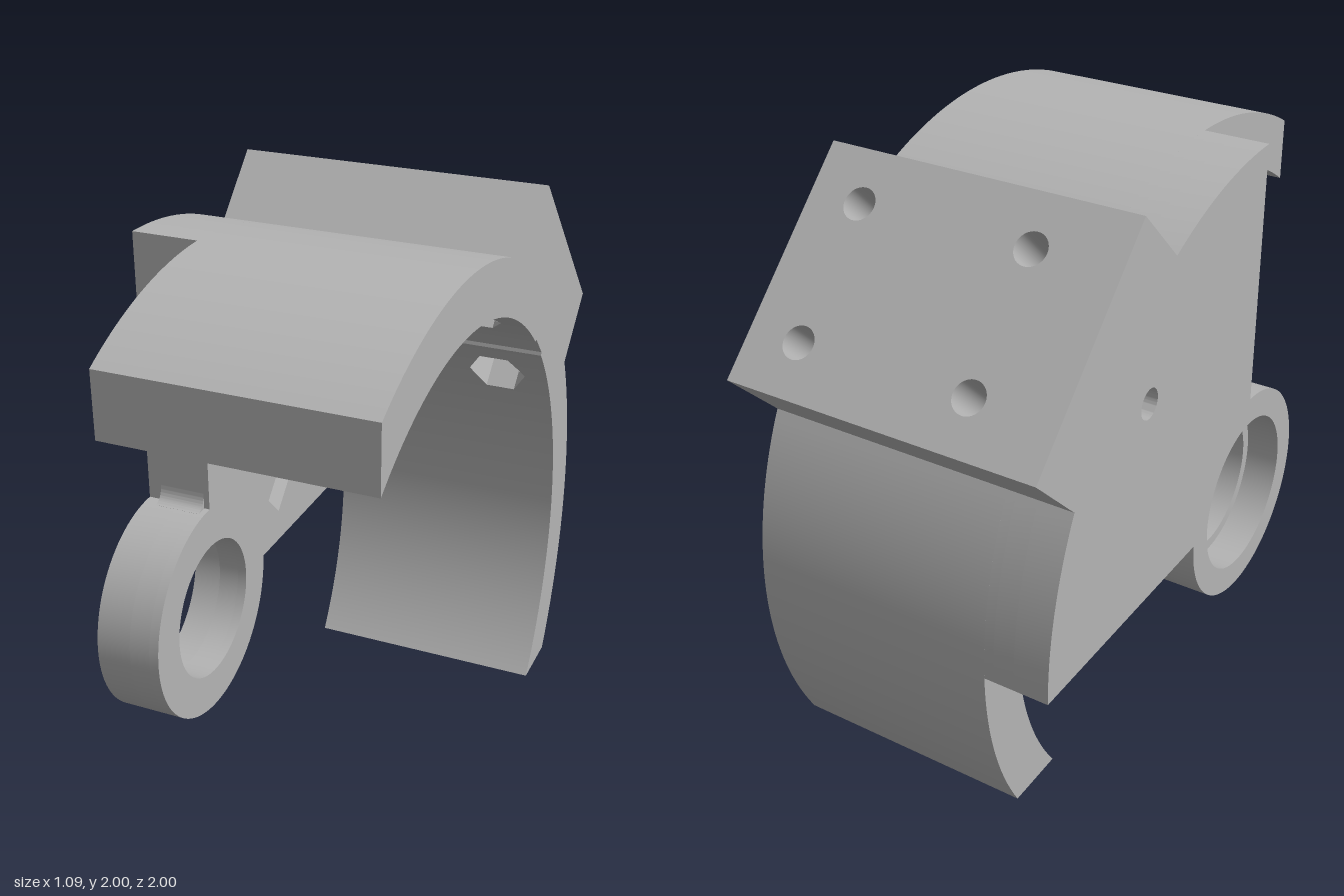
import * as THREE from 'three';
import { toCreasedNormals } from 'three/addons/utils/BufferGeometryUtils.js';

// Local frame: x = width, y = radially out through the mounting block (u), z = across it (v).
const X0 = -0.545, X1 = -0.32, X2 = 0.54;            // plate outside, plate inside, guard edge
const R_OUT = 1.31, R_IN = 1.125, BLOCK_U = 1.527, BLOCK_V = 0.4;
const BOLT_X = [-0.25, 0.355], BOLT_V = [-0.227, 0.227], BOLT_R = 0.054;
const HEX_R = 0.103, HEX_H = HEX_R * Math.sqrt(3) / 2, POCKET_U = 1.3;
const NUT_U = 1.043, NUT_V = 0.0525, SLOT_U = 1.134; // side nut and the shallow slot it leaves
const Q = Math.PI / 4;

const grey = new THREE.MeshStandardMaterial({ color: 0xb4b4b4, side: THREE.DoubleSide });
grey.name = 'grey';

const X = new THREE.Vector3(1, 0, 0), Y = new THREE.Vector3(0, 1, 0), Z = new THREE.Vector3(0, 0, 1);
const ALONG_X = new THREE.Matrix4().makeBasis(Y, Z, X); // shapes drawn in (u, v)
const ALONG_U = new THREE.Matrix4().makeBasis(Z, X, Y); // shapes drawn in (v, x)

// Inner surface of the guard over the block
const innerU = v => {
  const arc = Math.sqrt(R_IN * R_IN - v * v);
  return Math.abs(v) <= NUT_V + 1e-6 ? Math.max(arc, SLOT_U) : arc;
};

const circle = (x, y, r) => new THREE.Path().absarc(x, y, r, 0, Math.PI * 2, true);
const polygon = pts => new THREE.Path(pts.map(p => new THREE.Vector2(...p)));
const hexPoints = (x, y, r, start) => Array.from({ length: 6 }, (_, i) => {
  const a = start + i * Math.PI / 3;
  return [x + r * Math.cos(a), y + r * Math.sin(a)];
});
const arcPoints = (r, a, b, n) => Array.from({ length: n + 1 }, (_, i) => {
  const t = a + (b - a) * i / n;
  return [r * Math.cos(t), r * Math.sin(t)];
});
const shapeOf = (pts, holes = []) => {
  const s = new THREE.Shape(pts.map(p => new THREE.Vector2(...p)));
  s.holes.push(...holes);
  return s;
};

function extrudeX(shape, from, to) {
  const g = new THREE.ExtrudeGeometry(shape, { depth: to - from, bevelEnabled: false, curveSegments: 48 });
  g.translate(0, 0, from).applyMatrix4(ALONG_X);
  return toCreasedNormals(g, 0.5);
}

// Collects four-cornered faces into one geometry
function quads(list) {
  const pos = [];
  for (const [a, b, c, d] of list) pos.push(...a, ...b, ...c, ...a, ...c, ...d);
  const g = new THREE.BufferGeometry();
  g.setAttribute('position', new THREE.Float32BufferAttribute(pos, 3));
  return toCreasedNormals(g, 0.3);
}

export function createModel() {
  const model = new THREE.Group();
  const body = new THREE.Group();
  body.name = 'guardBracket';
  body.position.set(0, 0.64, 0.365);
  body.rotation.x = -Q;
  model.add(body);
  const add = (name, geometry) => {
    const m = new THREE.Mesh(geometry, grey);
    m.name = name;
    body.add(m);
    return m;
  };

  // Two curved wings of the guard, cut off square to the axes
  const end = r => Q + Math.asin(0.638 / r);
  const wing = [
    ...arcPoints(R_OUT, Math.asin(BLOCK_V / R_OUT), end(R_OUT), 40),
    ...arcPoints(R_IN, end(R_IN), Math.asin(BLOCK_V / R_IN), 40),
  ];
  for (const s of [1, -1]) {
    add(s > 0 ? 'frontWing' : 'rearWing', extrudeX(shapeOf(wing.map(([u, v]) => [u, v * s])), X1, X2));
  }

  // Side plate with the pivot ring, in three layers for the stepped holes
  const a0 = Math.asin(BLOCK_V / R_OUT);
  const outline = [
    ...arcPoints(R_OUT, -Q, -a0, 16), [BLOCK_U, -BLOCK_V], [BLOCK_U, BLOCK_V],
    ...arcPoints(R_OUT, a0, Q, 16), ...arcPoints(0.385, Q, 2 * Math.PI - Q, 72),
  ];
  const nut = () => polygon(hexPoints(NUT_U, 0, 0.105, Math.PI / 6));
  const vertexX = BOLT_X[0] - HEX_R;
  const grooveW = (X1 - vertexX) * Math.sqrt(3), GROOVE_U = 0.45;
  const grooves = BOLT_V.map(c => polygon([
    [GROOVE_U, c - grooveW], [POCKET_U, c - grooveW], [POCKET_U, c + grooveW], [GROOVE_U, c + grooveW],
  ]));
  add('plateOuterLayer', extrudeX(shapeOf(outline, [circle(0, 0, 0.285), circle(NUT_U, 0, 0.051)]), X0, -0.425));
  add('plateMiddleLayer', extrudeX(shapeOf(outline, [circle(0, 0, 0.245), nut()]), -0.425, vertexX));
  add('plateInnerLayer', extrudeX(shapeOf(outline, [circle(0, 0, 0.245), nut(), ...grooves]), vertexX, X1));

  // Sloping walls of the V grooves
  const walls = [];
  for (const c of BOLT_V) for (const s of [1, -1]) {
    const w = [
      [X1, GROOVE_U, c + s * grooveW], [vertexX, GROOVE_U, c],
      [vertexX, POCKET_U, c], [X1, POCKET_U, c + s * grooveW],
    ];
    walls.push(s > 0 ? w : w.reverse());
  }
  add('plateGrooves', quads(walls));

  // Small fillets between pivot ring and plate edges
  for (const s of [1, -1]) {
    const f = new THREE.Shape();
    const p = (r, off) => { // r along the plate edge, off sideways from it
      const u = (r - off) * Math.SQRT1_2, v = (r + off) * Math.SQRT1_2;
      return [u, v * s];
    };
    f.moveTo(...p(0.37, -0.01));
    f.lineTo(...p(0.37, 0.04));
    f.lineTo(...p(0.383, 0.04));
    f.quadraticCurveTo(...p(0.39, 0), ...p(0.44, 0));
    f.lineTo(...p(0.44, -0.01));
    add('pivotFillet', extrudeX(f, -0.5, -0.34));
  }

  // Inner surface over the block, in strips that leave the nut pockets open
  const cuts = [NUT_V, -NUT_V];
  for (let i = 0; i <= 40; i++) cuts.push(-BLOCK_V + i * BLOCK_V / 20);
  for (const c of BOLT_V) cuts.push(c - HEX_H, c, c + HEX_H);
  cuts.sort((a, b) => a - b);
  const inner = [];
  for (let i = 0; i + 1 < cuts.length; i++) {
    const va = cuts[i], vb = cuts[i + 1], mid = (va + vb) / 2;
    if (vb - va < 1e-6) continue;
    const c = BOLT_V.find(b => Math.abs(mid - b) < HEX_H);
    const half = v => HEX_R - Math.abs(v - c) / Math.sqrt(3);
    const edges = v => c === undefined ? [X1, X2]
      : [X1, Math.max(X1, BOLT_X[0] - half(v)), BOLT_X[0] + half(v), BOLT_X[1] - half(v), BOLT_X[1] + half(v), X2];
    const ea = edges(va), eb = edges(vb);
    for (let k = 0; k < ea.length; k += 2) {
      inner.push([[ea[k], innerU(va), va], [ea[k + 1], innerU(va), va],
        [eb[k + 1], innerU(vb), vb], [eb[k], innerU(vb), vb]]);
    }
  }
  add('guardInnerFace', quads(inner));

  // Mounting block: end face, two sides and drilled outer face
  const endShape = shapeOf([...cuts.map(v => [innerU(v), v]), [BLOCK_U, BLOCK_V], [BLOCK_U, -BLOCK_V]]);
  add('blockEndFace', new THREE.ShapeGeometry(endShape).translate(0, 0, X2).applyMatrix4(ALONG_X));
  const side = s => [[X1, 1.1, s], [X2, 1.1, s], [X2, BLOCK_U, s], [X1, BLOCK_U, s]];
  add('blockSides', quads([side(BLOCK_V), side(-BLOCK_V).reverse()]));
  const holes = BOLT_X.flatMap(x => BOLT_V.map(v => circle(v, x, BOLT_R)));
  const face = shapeOf([[-BLOCK_V, X1], [BLOCK_V, X1], [BLOCK_V, X2], [-BLOCK_V, X2]], holes);
  add('blockOuterFace', new THREE.ShapeGeometry(face, 24).translate(0, 0, BLOCK_U).applyMatrix4(ALONG_U));

  // Bolt holes with hexagonal nut pockets
  for (const x of BOLT_X) for (const v of BOLT_V) {
    const bore = new THREE.CylinderGeometry(BOLT_R, BOLT_R, BLOCK_U - POCKET_U, 48, 1, true);
    add('boltHole', bore.translate(x, (BLOCK_U + POCKET_U) / 2, v));

    const pocket = new THREE.CylinderGeometry(HEX_R, HEX_R, 1, 6, 1, true, Math.PI / 6).translate(x, 0, v);
    const p = pocket.attributes.position;
    for (let i = 0; i < p.count; i++) p.setY(i, p.getY(i) > 0 ? POCKET_U : innerU(p.getZ(i)));
    add('nutPocket', toCreasedNormals(pocket, 0.3));

    const floor = shapeOf(hexPoints(v, x, HEX_R, Math.PI / 6 + Math.PI / 3), [circle(v, x, BOLT_R)]);
    add('pocketFloor', new THREE.ShapeGeometry(floor, 24).translate(0, 0, POCKET_U).applyMatrix4(ALONG_U));
  }
  return model;
}
